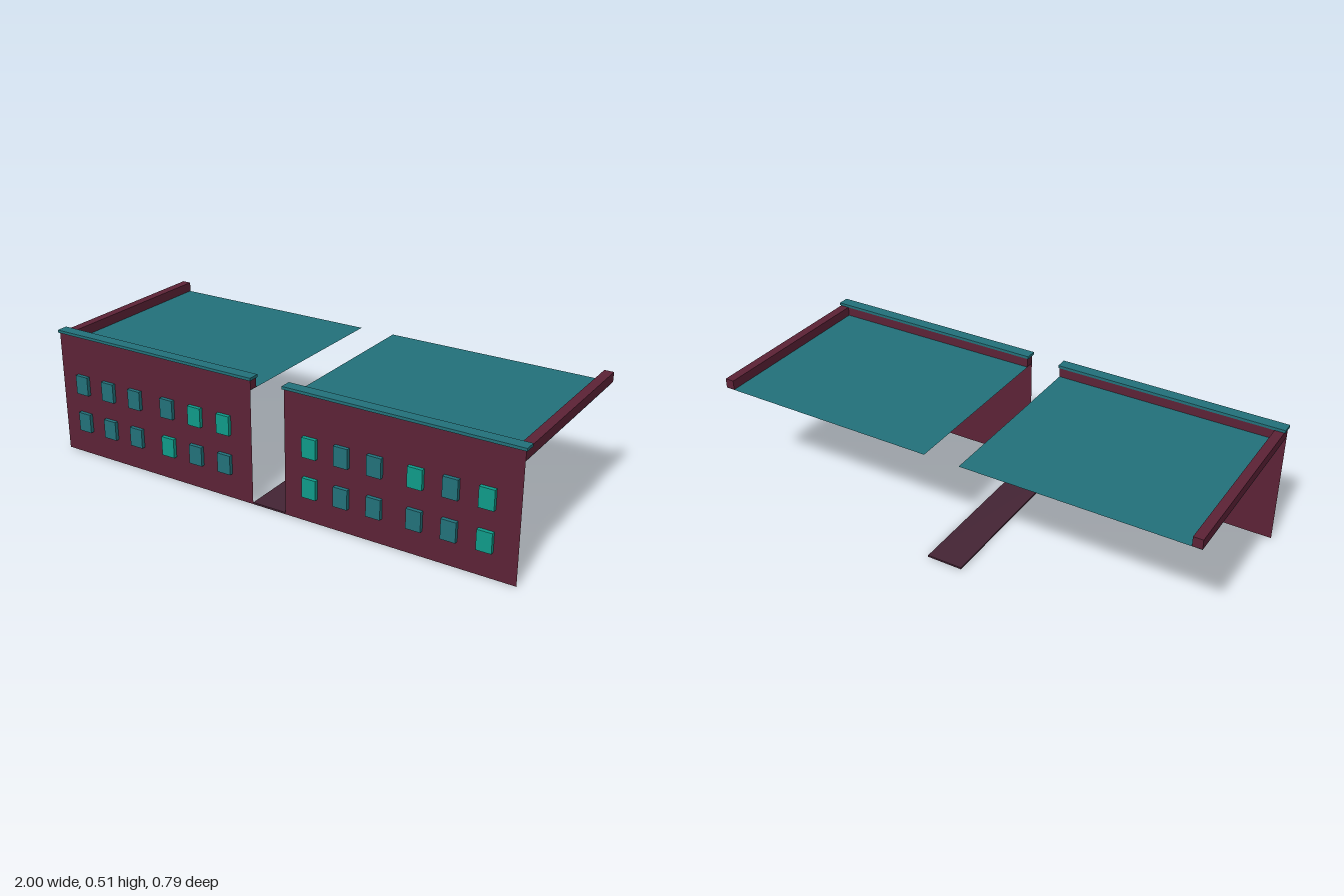
import * as THREE from 'three';

const material = (name, color, side = THREE.FrontSide) => {
  const m = new THREE.MeshStandardMaterial({ color, side });
  m.name = name;
  return m;
};

export function createModel() {
  const brick = material('maroon brick', 0x5c2236, THREE.DoubleSide);
  const teal = material('dark teal', 0x22717a, THREE.DoubleSide);
  const lit = material('bright teal', 0x0f9b89);
  const paving = material('dark plum paving', 0x442434);

  const model = new THREE.Group();
  model.name = 'twinBuildings';

  // Box given by its extents along each axis
  const box = (parent, name, mat, [x0, x1], [y0, y1], [z0, z1]) => {
    const mesh = new THREE.Mesh(new THREE.BoxGeometry(x1 - x0, y1 - y0, z1 - z0), mat);
    mesh.position.set((x0 + x1) / 2, (y0 + y1) / 2, (z0 + z1) / 2);
    mesh.name = name;
    parent.add(mesh);
  };

  const front = 0.381, back = -0.394;
  const roofY = 0.462, topY = 0.5, thick = 0.037;
  const columns = [0.182, 0.314, 0.448, 0.607, 0.74, 0.873];
  const rows = [0.141, 0.301];

  // Each block: wall span, cornice span, side parapet span, window shift, lit columns per row
  const blocks = [
    { name: 'leftBlock', wall: [0.071, 0.992], cornice: [0.066, 0.998], side: [0.955, 0.992], shift: 0, lit: [[0, 5], [0, 3, 5]] },
    { name: 'rightBlock', wall: [-0.996, -0.075], cornice: [-1, -0.07], side: [-0.996, -0.959], shift: -1.069, lit: [[3], [4, 5]] },
  ];

  for (const b of blocks) {
    const group = new THREE.Group();
    group.name = b.name;
    model.add(group);
    const width = b.wall[1] - b.wall[0], centre = (b.wall[0] + b.wall[1]) / 2;

    // Open facade sheet
    const facade = new THREE.Mesh(new THREE.PlaneGeometry(width, topY), brick);
    facade.position.set(centre, topY / 2, front);
    facade.name = 'facade';
    group.add(facade);

    // Flat roof sheet
    const roof = new THREE.Mesh(new THREE.PlaneGeometry(width, front - back), teal);
    roof.rotation.x = -Math.PI / 2;
    roof.position.set(centre, roofY - 0.001, (front + back) / 2);
    roof.name = 'roof';
    group.add(roof);

    // Parapets and cornice
    box(group, 'sideParapet', brick, b.side, [roofY, topY], [back, front - 0.001]);
    box(group, 'frontParapet', brick, b.wall, [roofY, topY], [front - thick, front - 0.001]);
    box(group, 'cornice', teal, b.cornice, [topY, 0.511], [0.342, 0.388]);

    // Windows
    rows.forEach((y, r) => columns.forEach((cx, c) => {
      const x = cx + b.shift, isLit = b.lit[r].includes(c);
      box(group, isLit ? 'litWindow' : 'darkWindow', isLit ? lit : teal,
        [x - 0.029, x + 0.029], [y - 0.039, y + 0.039], [front + 0.0005, 0.397]);
    }));
  }

  // Alley floor between the blocks
  box(model, 'alleyFloor', paving, [-0.075, 0.071], [0, 0.007], [back, front]);
  return model;
}
